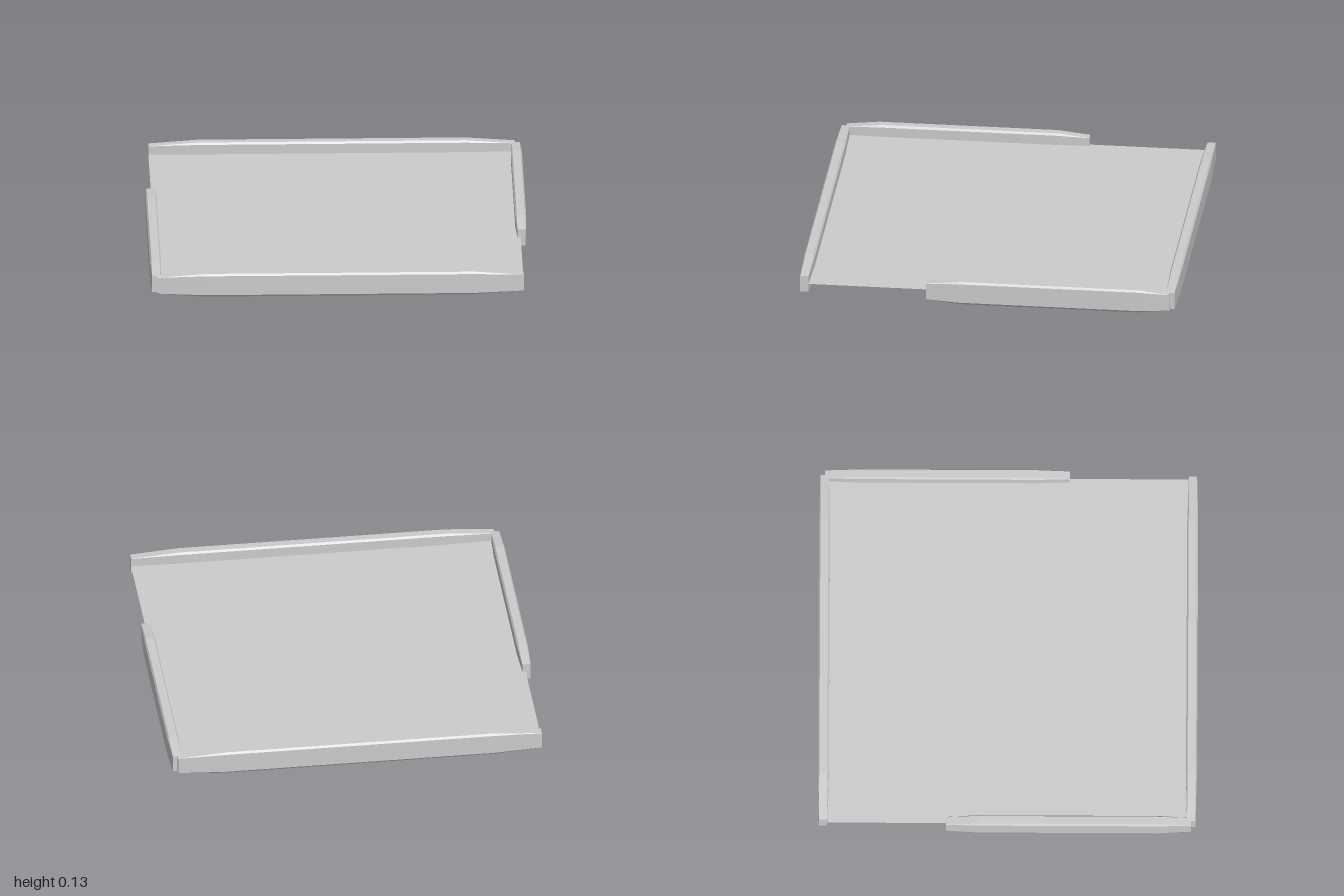
import * as THREE from 'three';

const MID = 0.065; // height of the panel and of the rail centre lines
const material = new THREE.MeshStandardMaterial({ color: 0xcccccc, flatShading: true, side: THREE.DoubleSide });

// Chamfered eight-sided section: half width w, half height h, narrower top tw, shorter side sh
function section(x, w, h, tw, sh) {
  return [[sh, w], [h, tw], [h, -tw], [sh, -w], [-sh, -w], [-h, -tw], [-h, tw], [-sh, w]]
    .map(([y, z]) => [x, y, z]);
}

// Rail along x, thick in the middle and tapering to both ends
function railGeometry(length) {
  const half = length / 2;
  const end = [0.022, 0.045, 0.0215, 0.0445];
  const middle = [0.029, 0.064, 0.021, 0.053];
  const rings = [
    section(-half, ...end),
    section(-half * 0.735, ...middle),
    section(half * 0.735, ...middle),
    section(half, ...end),
  ];
  const n = 8;
  const index = [];
  for (let r = 0; r < rings.length - 1; r++) {
    for (let i = 0; i < n; i++) {
      const a = r * n + i, b = r * n + (i + 1) % n;
      index.push(a, a + n, b, b, a + n, b + n);
    }
  }
  // End caps
  const last = (rings.length - 1) * n;
  for (let i = 1; i < n - 1; i++) {
    index.push(0, i, i + 1, last, last + i + 1, last + i);
  }
  const geometry = new THREE.BufferGeometry();
  geometry.setAttribute('position', new THREE.Float32BufferAttribute(rings.flat(2), 3));
  geometry.setIndex(index);
  const flat = geometry.toNonIndexed();
  flat.computeVertexNormals();
  return flat;
}

export function createModel() {
  const group = new THREE.Group();

  // Thin floor panel
  const panel = new THREE.Mesh(new THREE.PlaneGeometry(1.93, 1.93), material);
  panel.name = 'floorPanel';
  panel.rotation.x = -Math.PI / 2;
  panel.position.y = MID;
  group.add(panel);

  // Full rails at front and back, shorter staggered rails at the sides
  const longRail = railGeometry(1.93);
  const shortRail = railGeometry(1.29);
  const addRail = (name, geometry, x, z, turn) => {
    const rail = new THREE.Mesh(geometry, material);
    rail.name = name;
    rail.position.set(x, MID, z);
    rail.rotation.y = turn;
    group.add(rail);
  };
  addRail('frontRail', longRail, 0, 0.969, 0);
  addRail('backRail', longRail, 0, -0.969, 0);
  addRail('leftRail', shortRail, 0.969, -0.322, Math.PI / 2);
  addRail('rightRail', shortRail, -0.969, 0.322, Math.PI / 2);
  return group;
}
